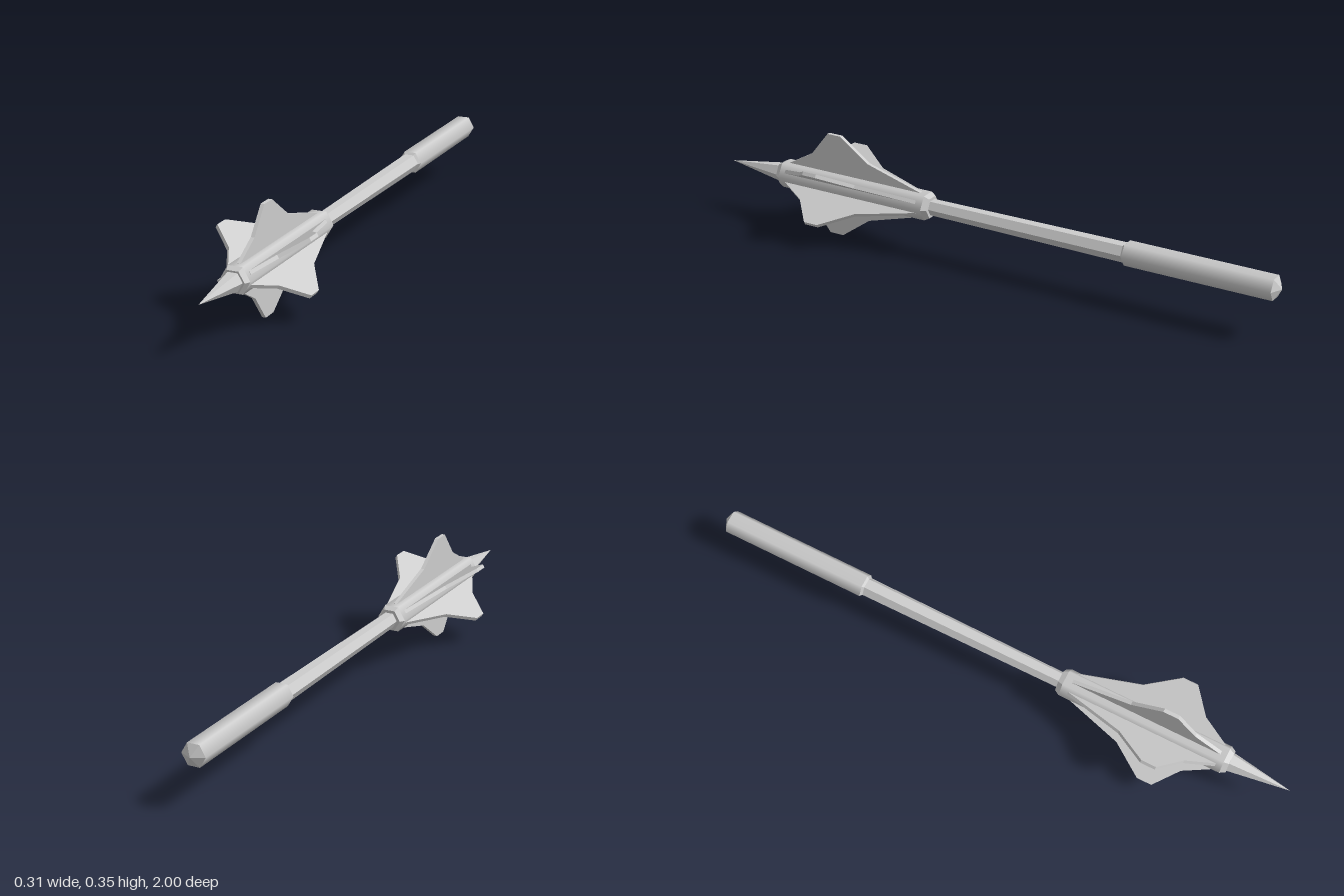
import * as THREE from 'three';

const steel = new THREE.MeshStandardMaterial({ color: 0xcccccc });
steel.name = 'steel';

// Six-sided section along z, from z0 (radius r0) to z1 (radius r1), corners on +x and -x
function hexSection(name, z0, r0, z1, r1, { smooth = false, open = true } = {}) {
  let geo = new THREE.CylinderGeometry(r1, r0, z1 - z0, 6, 1, open, Math.PI / 2);
  geo.rotateX(Math.PI / 2).translate(0, 0, (z0 + z1) / 2);
  if (!smooth) {
    geo = geo.toNonIndexed();
    geo.computeVertexNormals();
  }
  const mesh = new THREE.Mesh(geo, steel);
  mesh.name = name;
  return mesh;
}

// Flat radial blade, built standing up from the axis
function flangeGeometry() {
  const thickness = 0.012;
  const outline = [
    [0.25, 0.02], [0.25, 0.042], [0.45, 0.1], [0.555, 0.175],
    [0.605, 0.175], [0.67, 0.093], [0.76, 0.042], [0.76, 0.02],
  ];
  const shape = new THREE.Shape(outline.map(([z, r]) => new THREE.Vector2(z, r)));
  const geo = new THREE.ExtrudeGeometry(shape, { depth: thickness, bevelEnabled: false });
  return geo.translate(0, 0, -thickness / 2).rotateY(-Math.PI / 2);
}

export function createModel() {
  const mace = new THREE.Group();
  mace.name = 'flangedMace';

  // Grip with a shallow pointed pommel
  mace.add(
    hexSection('pommelCap', -1, 0, -0.98, 0.04),
    hexSection('grip', -0.98, 0.04, -0.49, 0.04, { smooth: true }),
    hexSection('gripShoulder', -0.49, 0.04, -0.482, 0.031),
  );

  // Slightly tapered shaft
  mace.add(hexSection('shaft', -0.49, 0.032, 0.22, 0.027));

  // Head core with chamfered ends, and the top spike
  mace.add(
    hexSection('headRearChamfer', 0.208, 0.038, 0.225, 0.048, { open: false }),
    hexSection('headCore', 0.225, 0.048, 0.78, 0.048, { smooth: true }),
    hexSection('headFrontChamfer', 0.78, 0.048, 0.797, 0.038, { open: false }),
    hexSection('spike', 0.79, 0.033, 1, 0),
  );

  // Six flanges, one on each flat of the core
  const blade = flangeGeometry();
  for (let i = 0; i < 6; i++) {
    const flange = new THREE.Mesh(blade, steel);
    flange.name = `flange${i + 1}`;
    flange.rotation.z = i * Math.PI / 3;
    mace.add(flange);
  }

  mace.position.y = 0.175;
  const model = new THREE.Group();
  model.name = 'mace';
  model.add(mace);
  return model;
}
